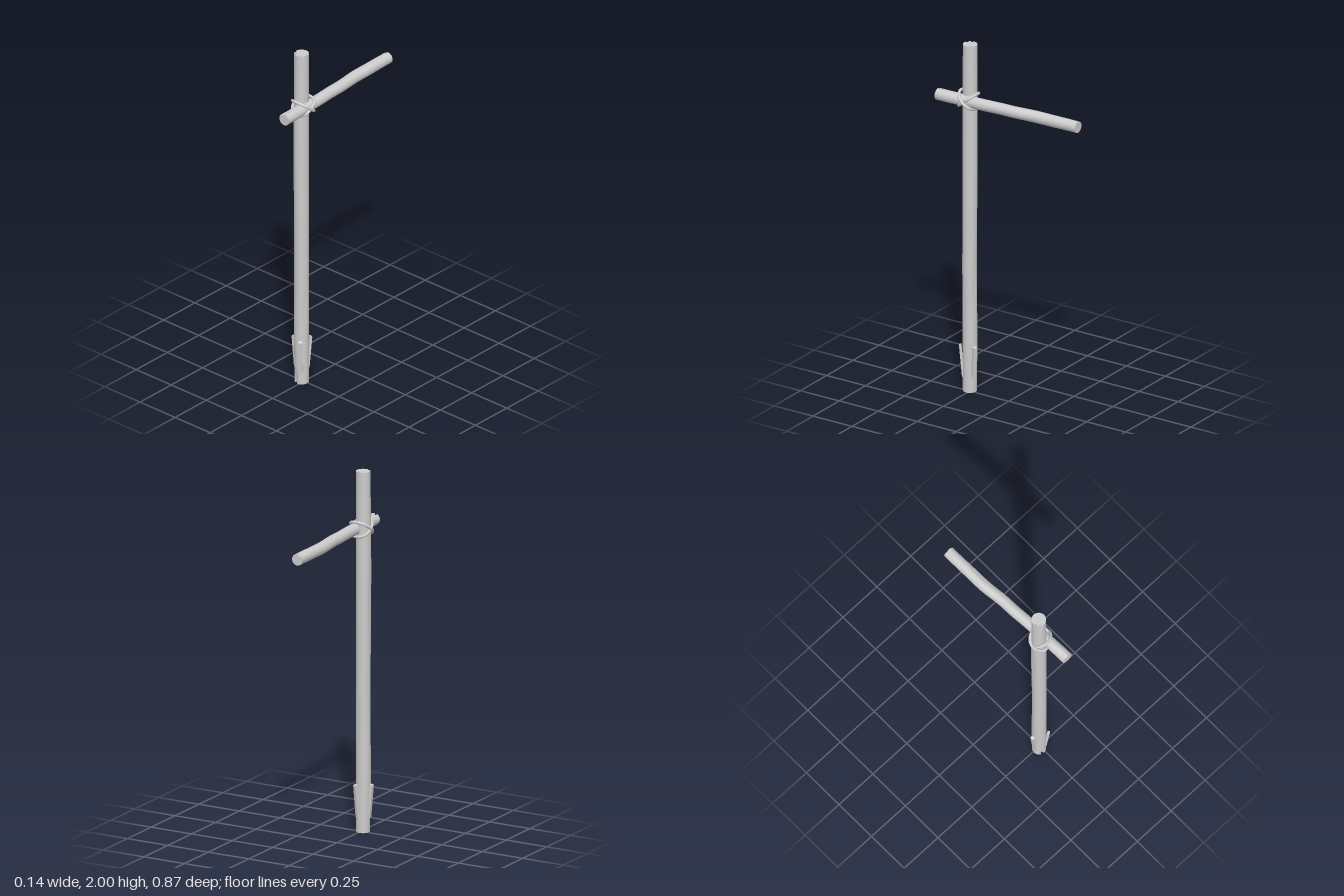
import * as THREE from 'three';

const SIDES = 24;
const material = new THREE.MeshStandardMaterial({ color: 0xcccccc });

function addMesh(parent, geometry, name) {
  const mesh = new THREE.Mesh(geometry, material);
  mesh.name = name;
  parent.add(mesh);
  return mesh;
}

// Log along +y. stations: [along, x, z, radius]; cracks: [side index, middle, half length, depth].
function logGeometry(stations, cracks, rings) {
  const first = stations[0][0], last = stations[stations.length - 1][0];
  const sample = (y) => {
    let i = 0;
    while (i < stations.length - 2 && y > stations[i + 1][0]) i++;
    const a = stations[i], b = stations[i + 1];
    const t = THREE.MathUtils.smoothstep(y, a[0], b[0]);
    return a.map((v, k) => THREE.MathUtils.lerp(v, b[k], t));
  };
  const positions = [], index = [];
  const addRing = (y) => {
    const [, cx, cz, r] = sample(y);
    for (let s = 0; s < SIDES; s++) {
      const angle = (s / SIDES) * Math.PI * 2;
      let radius = r;
      for (const [side, middle, half, depth] of cracks) {
        if (side === s) radius -= depth * Math.max(0, 1 - Math.abs(y - middle) / half);
      }
      positions.push(cx + Math.sin(angle) * radius, y, cz + Math.cos(angle) * radius);
    }
  };
  for (let i = 0; i <= rings; i++) addRing(THREE.MathUtils.lerp(first, last, i / rings));
  for (let i = 0; i < rings; i++) {
    for (let s = 0; s < SIDES; s++) {
      const a = i * SIDES + s, b = i * SIDES + ((s + 1) % SIDES);
      index.push(a, b, b + SIDES, a, b + SIDES, a + SIDES);
    }
  }
  // Flat end caps with their own vertices
  for (const y of [first, last]) {
    const start = positions.length / 3;
    addRing(y);
    const [, cx, cz] = sample(y);
    positions.push(cx, y, cz);
    for (let s = 0; s < SIDES; s++) {
      const a = start + s, b = start + ((s + 1) % SIDES), c = start + SIDES;
      if (y === last) index.push(a, b, c);
      else index.push(b, a, c);
    }
  }
  const geometry = new THREE.BufferGeometry();
  geometry.setAttribute('position', new THREE.Float32BufferAttribute(positions, 3));
  geometry.setIndex(index);
  geometry.computeVertexNormals();
  return geometry;
}

export function createModel() {
  const model = new THREE.Group();
  model.name = 'postWithCrossbeam';

  // Upright post
  addMesh(model, logGeometry([
    [0, -0.010, 0.256, 0.038],
    [0.3, -0.012, 0.257, 0.040],
    [0.7, -0.010, 0.258, 0.039],
    [1.45, -0.013, 0.257, 0.041],
    [2, -0.012, 0.256, 0.039],
  ], [
    [23, 0, 0.09, 0.016], [22, 2, 0.06, 0.014], [19, 2, 0.04, 0.012],
    [5, 0.48, 0.16, 0.006], [18, 1.3, 0.3, 0.006], [11, 0.6, 0.2, 0.006],
  ], 60), 'post');

  // Slightly bent crossbeam
  const beam = addMesh(model, logGeometry([
    [-0.437, -0.0125, 0, 0.032],
    [-0.2, -0.009, 0.001, 0.033],
    [0, 0.007, 0, 0.032],
    [0.2, 0.018, 0, 0.032],
    [0.437, 0.025, 0, 0.033],
  ], [
    [14, -0.437, 0.05, 0.012], [13, 0.437, 0.06, 0.014], [10, -0.22, 0.1, 0.005],
  ], 40), 'crossbeam');
  beam.rotation.x = Math.PI / 2;
  beam.position.y = 1.682;

  // Two tilted rope loops crossing over the joint
  const outline = [
    [0.058, 0.257], [0.050, 0.225], [0.022, 0.209], [-0.020, 0.209],
    [-0.046, 0.224], [-0.060, 0.257], [-0.046, 0.292], [-0.018, 0.309],
    [0.020, 0.304], [0.046, 0.288],
  ];
  for (const tilt of [1, -1]) {
    const points = outline.map(([x, z], i) => new THREE.Vector3(
      x + (i === 0 || i === 5 ? tilt * 0.003 : 0), 1.684 + tilt * (z - 0.257) * 0.8, z));
    const path = new THREE.CatmullRomCurve3(points, true);
    addMesh(model, new THREE.TubeGeometry(path, 30, 0.0085, 8, true), 'ropeLoop');
  }

  // Three splayed wedges around the foot
  const profile = new THREE.Shape([
    new THREE.Vector2(0.030, 0.08), new THREE.Vector2(0.042, 0.08),
    new THREE.Vector2(0.058, 0.262), new THREE.Vector2(0.044, 0.268),
  ]);
  for (const degrees of [35, 155, 275]) {
    const geometry = new THREE.ExtrudeGeometry(profile, { depth: 0.022, bevelEnabled: false });
    geometry.translate(0, 0, -0.011);
    const wedge = addMesh(model, geometry, 'footWedge');
    wedge.position.set(-0.011, 0, 0.257);
    wedge.rotation.y = THREE.MathUtils.degToRad(degrees - 90);
  }
  return model;
}
